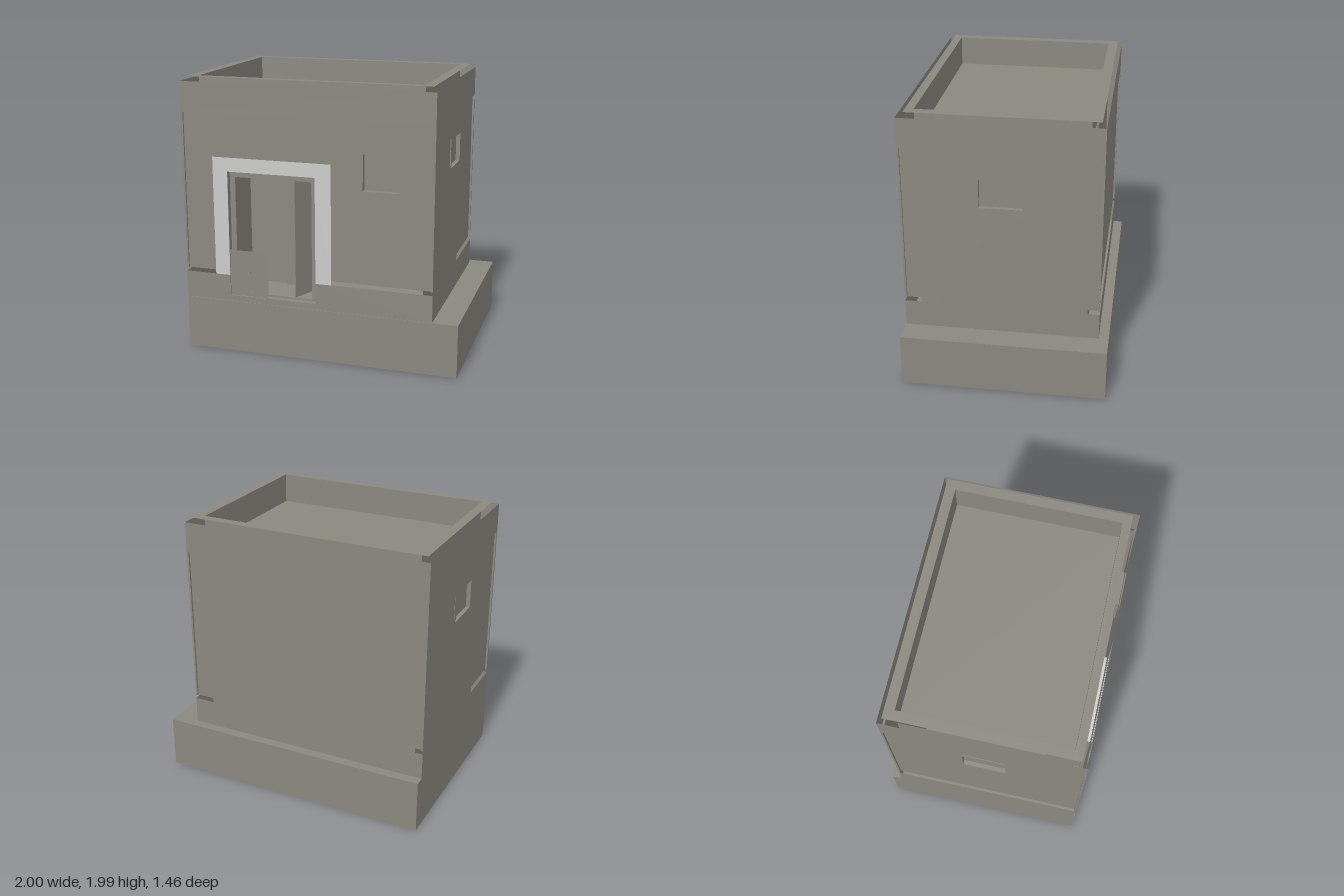
import * as THREE from 'three';

const stone = new THREE.MeshStandardMaterial({ color: 0x8b887f, side: THREE.DoubleSide });
stone.name = 'stone';
const paleTrim = new THREE.MeshStandardMaterial({ color: 0xcccccb, side: THREE.DoubleSide });
paleTrim.name = 'pale trim';

// Outer limits of the building above the slab
const X0 = -1, X1 = 0.82, Z0 = -0.66, Z1 = 0.716;
const RECESS = 0.014;

function outline(points) {
  return new THREE.Shape(points.map(p => new THREE.Vector2(...p)));
}

// Rectangle outline, usable as a shape or as a hole
function rect(x0, x1, y0, y1) {
  return outline([[x0, y0], [x1, y0], [x1, y1], [x0, y1]]);
}

// Flat sheet with optional holes
function plate(shape, holes = []) {
  shape.holes.push(...holes);
  return new THREE.ShapeGeometry(shape);
}

// Box between two corners
function block(x0, x1, y0, y1, z0, z1) {
  return new THREE.BoxGeometry(x1 - x0, y1 - y0, z1 - z0)
    .translate((x0 + x1) / 2, (y0 + y1) / 2, (z0 + z1) / 2);
}

// Inward-facing box; keep lists the faces: 0 +x, 1 -x, 2 +y, 3 -y, 4 +z, 5 -z
function niche(x0, x1, y0, y1, z0, z1, keep) {
  const g = block(x0, x1, y0, y1, z0, z1);
  const old = g.index.array, index = [];
  for (const f of keep) {
    for (let i = f * 6; i < f * 6 + 6; i += 3) index.push(old[i], old[i + 2], old[i + 1]);
  }
  g.clearGroups();
  g.setIndex(index);
  const n = g.attributes.normal;
  for (let i = 0; i < n.count; i++) n.setXYZ(i, -n.getX(i), -n.getY(i), -n.getZ(i));
  return g;
}

export function createModel() {
  const model = new THREE.Group();
  model.name = 'building';
  const add = (name, geometry, material = stone, parent = model) => {
    const mesh = new THREE.Mesh(geometry, material);
    mesh.name = name;
    parent.add(mesh);
    return mesh;
  };
  const addFlat = (name, z, geometry, material) => {
    const mesh = add(name, geometry, material);
    mesh.position.z = z;
    return mesh;
  };

  // Ground slab
  add('groundSlab', block(-1, 1, 0, 0.38, -0.73, 0.72));

  // Open bands of outer wall; the front shapes leave room for door and window
  const bands = [
    {
      name: 'plinth', y0: 0.38, y1: 0.575, inset: 0,
      front: outline([[X0, 0.38], [X1, 0.38], [X1, 0.575], [-0.015, 0.575],
        [-0.015, 0.425], [-0.66, 0.425], [-0.66, 0.575], [X0, 0.575]]),
    },
    {
      name: 'wall', y0: 0.6, y1: 1.74, inset: RECESS,
      front: outline([[X0 + RECESS, 0.6], [-0.66, 0.6], [-0.66, 1.335], [-0.015, 1.335],
        [-0.015, 0.6], [X1 - RECESS, 0.6], [X1 - RECESS, 1.74], [X0 + RECESS, 1.74]]),
      frontHoles: [rect(0.325, 0.58, 1.265, 1.52)],
    },
    { name: 'cornice', y0: 1.74, y1: 1.955, inset: 0, front: rect(X0, X1, 1.74, 1.955) },
  ];
  for (const { name, y0, y1, inset, front, frontHoles } of bands) {
    const x0 = X0 + inset, x1 = X1 - inset, z0 = Z0 + inset, z1 = Z1 - inset;
    addFlat(name + 'Front', z1, plate(front, frontHoles));
    addFlat(name + 'Back', z0, plate(rect(-x1, -x0, y0, y1))).rotation.y = Math.PI;
    for (const s of [1, -1]) {
      const holes = name === 'wall' ? [s > 0 ? rect(-0.175, 0.12, 1.34, 1.545) : rect(-0.12, 0.175, 1.34, 1.545)] : [];
      const shape = s > 0 ? rect(-z1, -z0, y0, y1) : rect(z0, z1, y0, y1);
      const side = add(name + (s > 0 ? 'Left' : 'Right'), plate(shape, holes));
      side.position.x = s > 0 ? x1 : x0;
      side.rotation.y = s * Math.PI / 2;
    }
  }

  // Slim posts fill the wall corners
  for (const x of [X0, X1 - RECESS]) {
    for (const z of [Z0, Z1 - RECESS]) {
      add('cornerPost', block(x, x + RECESS, 0.6, 1.74, z, z + RECESS));
    }
  }

  // Inner room walls, seen through the slot above the plinth
  add('roomWalls', niche(-0.91, 0.73, 0.4, 1.72, -0.57, 0.62, [0, 1, 5]));

  // Roof well and flat parapet rim
  add('roofWell', niche(-0.9, 0.72, 1.77, 1.985, -0.56, 0.61, [0, 1, 3, 4, 5]));
  const rim = add('parapetRim', plate(rect(-0.97, 0.79, -0.67, 0.63), [rect(-0.9, 0.72, -0.61, 0.56)]));
  rim.rotation.x = -Math.PI / 2;
  rim.position.y = 1.985;

  // Windows: flat surround standing off the wall, and a recessed pane
  addFlat('frontWindowFrame', 0.715, plate(rect(0.285, 0.62, 1.22, 1.56), [rect(0.325, 0.58, 1.265, 1.52)]));
  add('frontWindowRecess', niche(0.325, 0.58, 1.265, 1.52, 0.672, 0.714, [0, 1, 2, 3, 5]));
  for (const s of [1, -1]) {
    const window = new THREE.Group();
    window.name = s > 0 ? 'leftWindow' : 'rightWindow';
    window.rotation.y = s * Math.PI / 2;
    window.position.set(s > 0 ? X1 - 0.001 : X0 + 0.001, 0, 0.0275);
    add('windowFrame', plate(rect(-0.18, 0.18, 1.3, 1.58), [rect(-0.1475, 0.1475, 1.34, 1.545)]), stone, window);
    add('windowRecess', niche(-0.1475, 0.1475, 1.34, 1.545, -0.03, 0, [0, 1, 2, 3, 5]), stone, window);
    model.add(window);
  }

  // Two small vent plates above the door
  for (const [x0, x1] of [[-0.525, -0.405], [-0.265, -0.15]]) {
    addFlat('ventPlate', 0.715, plate(rect(x0, x1, 1.5, 1.665)));
  }

  // Pale door surround, its soffit and the entry panel
  addFlat('doorSurround', 0.718, plate(outline([
    [-0.77, 0.575], [-0.66, 0.575], [-0.66, 1.335], [-0.015, 1.335],
    [-0.015, 0.575], [0.1, 0.575], [0.1, 1.435], [-0.77, 1.435],
  ])), paleTrim);
  add('doorSoffit', niche(-0.655, -0.018, 0.425, 1.335, 0.675, 0.716, [2]), paleTrim);
  addFlat('entryPanel', 0.732, plate(rect(0, 0.083, 1.063, 1.17)), paleTrim);

  // Doorway: outer jambs, stepped face and deep alcove
  add('doorJambs', niche(-0.66, -0.015, 0.425, 1.335, 0.675, 0.716, [0, 1, 3]));
  addFlat('doorStep', 0.675, plate(rect(-0.66, -0.015, 0.425, 1.335), [rect(-0.62, -0.055, 0.44, 1.29)]));
  add('doorAlcove', niche(-0.62, -0.055, 0.44, 1.29, 0.4, 0.675, [0, 1, 2, 3, 5]));

  // Back panel and half-open door leaf
  add('alcovePanel', block(-0.335, -0.18, 0.44, 1.288, 0.4, 0.43));
  const leaf = add('doorLeaf', new THREE.BoxGeometry(0.295, 0.845, 0.008));
  leaf.position.set(-0.12, 0.865, 0.54);
  leaf.rotation.y = Math.atan2(0.27, 0.12);

  // Low gate with two sunken panels
  const gatePanels = [[-0.632, -0.522], [-0.503, -0.397]];
  addFlat('gateFrame', 0.715, plate(rect(-0.657, -0.37, 0.427, 0.765),
    gatePanels.map(([x0, x1]) => rect(x0, x1, 0.455, 0.745))));
  for (const [x0, x1] of gatePanels) {
    addFlat('gatePanel', 0.7, plate(rect(x0 - 0.006, x1 + 0.006, 0.449, 0.751)));
  }
  return model;
}
